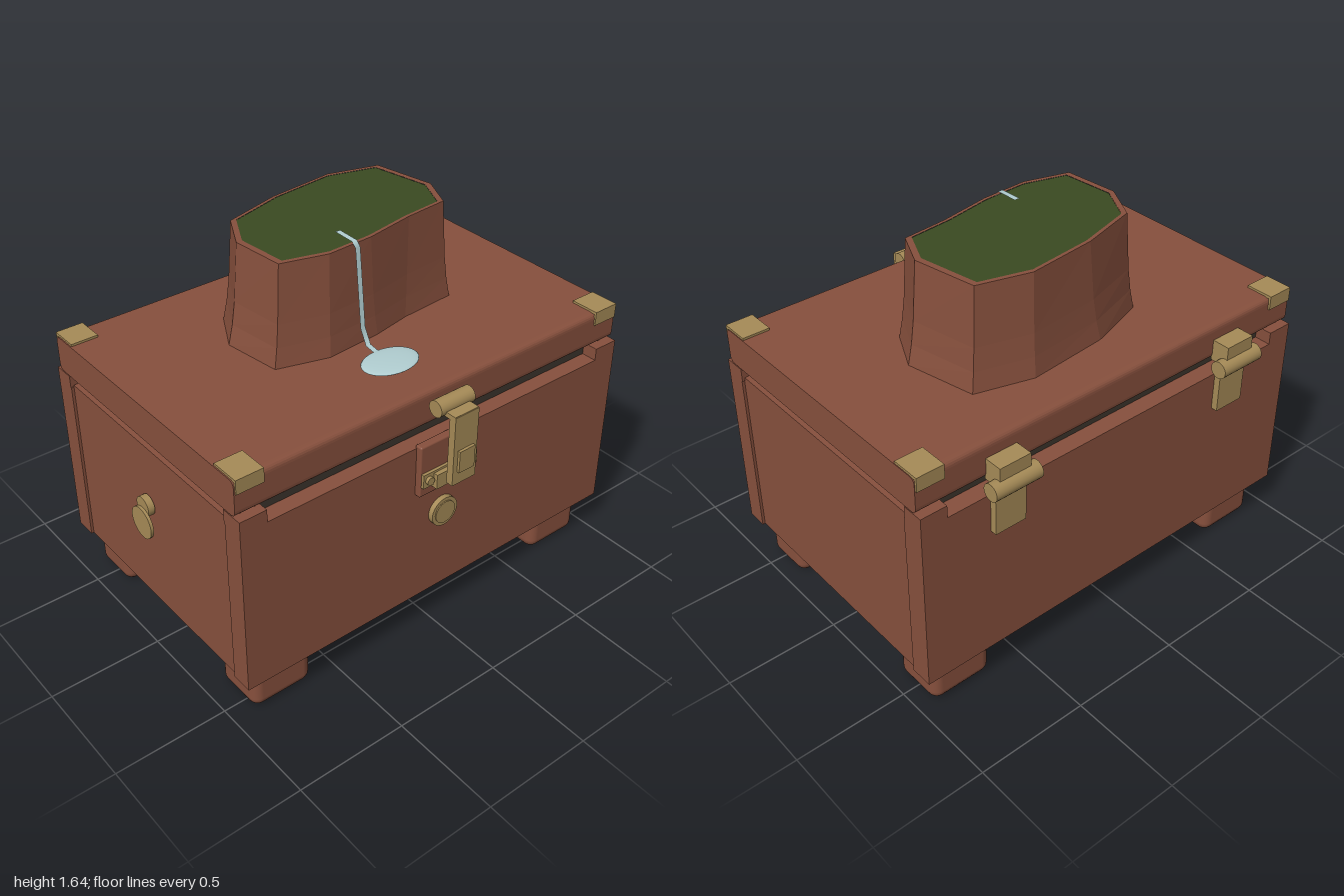
import * as THREE from 'three';
import { RoundedBoxGeometry } from 'three/addons/geometries/RoundedBoxGeometry.js';

const material = (name, color, extra = {}) => {
  const m = new THREE.MeshStandardMaterial({ color, ...extra });
  m.name = name;
  return m;
};

export function createModel() {
  const model = new THREE.Group();
  model.name = 'chest';
  const leather = material('brown leather', 0x87503d);
  const facets = material('brown leather', 0x87503d, { flatShading: true });
  const brass = material('brass', 0xa68b57);
  const lining = material('dark lining', 0x3c352d);
  const green = material('green filling', 0x3a4a21);
  const silver = material('pale silver', 0xb2cfd2, { side: THREE.DoubleSide });

  const add = (name, geometry, mat) => {
    const mesh = new THREE.Mesh(geometry, mat);
    mesh.name = name;
    model.add(mesh);
    return mesh;
  };
  // Box given by its extents on each axis
  const box = (name, mat, x0, x1, y0, y1, z0, z1, radius = 0) => {
    const s = [x1 - x0, y1 - y0, z1 - z0];
    const g = radius ? new RoundedBoxGeometry(...s, 3, radius) : new THREE.BoxGeometry(...s);
    return add(name, g.translate((x0 + x1) / 2, (y0 + y1) / 2, (z0 + z1) / 2), mat);
  };
  // Cylinder along the x or z axis
  const rod = (name, mat, axis, r, length, x, y, z) => {
    const g = new THREE.CylinderGeometry(r, r, length, 24);
    if (axis === 'x') g.rotateZ(Math.PI / 2); else g.rotateX(Math.PI / 2);
    return add(name, g.translate(x, y, z), mat);
  };

  // Chest walls, floor and lining
  const L = -0.965, R = 0.995;
  box('frontWall', leather, L, R, 0.2, 0.975, 0.535, 0.63);
  box('backWall', leather, L, R, 0.2, 0.975, -0.675, -0.575);
  box('leftWall', leather, 0.9, R - 0.012, 0.2, 0.985, -0.575, 0.535);
  box('rightWall', leather, L + 0.012, -0.87, 0.2, 0.985, -0.575, 0.535);
  box('floor', leather, -0.885, 0.915, 0.17, 0.21, -0.575, 0.535);
  box('lining', lining, -0.9, 0.93, 0.22, 1.028, -0.6, 0.56);

  // Corner blocks and feet
  for (const [x0, x1] of [[L, -0.845], [0.877, R]])
    for (const [z0, z1] of [[0.53, 0.63], [-0.675, -0.58]])
      box('cornerBlock', leather, x0, x1, 0.97, 1.03, z0, z1);
  for (const [x0, x1] of [[-0.905, -0.617], [0.648, 0.935]])
    for (const [z0, z1] of [[0.34, 0.578], [-0.623, -0.385]])
      box('foot', leather, x0, x1, 0, 0.185, z0, z1, 0.045);

  // Lid: rounded cross-section drawn in (z, y) and extruded along x
  const [a, b, c, d, r] = [-0.605, 0.65, 1.035, 1.193, 0.028];
  const lid = new THREE.Shape();
  lid.moveTo(a + r, c).lineTo(b - r, c).quadraticCurveTo(b, c, b, c + r);
  lid.lineTo(b, d - r).quadraticCurveTo(b, d, b - r, d);
  lid.lineTo(a + r, d).quadraticCurveTo(a, d, a, d - r);
  lid.lineTo(a, c + r).quadraticCurveTo(a, c, a + r, c);
  const lidGeometry = new THREE.ExtrudeGeometry(lid, { depth: R - L, bevelEnabled: false, curveSegments: 5 });
  add('lid', lidGeometry.rotateY(Math.PI / 2).translate(L, 0, 0), leather);

  // Brass corner brackets: a top plate and a turned-down flange
  for (const [x0, x1] of [[-0.96, -0.838], [0.87, 0.992]])
    for (const [z0, z1, f0, f1] of [[0.48, 0.61, 0.602, 0.612], [-0.657, -0.533, -0.659, -0.648]]) {
      box('cornerPlate', brass, x0, x1, 1.19, 1.203, z0, z1);
      box('cornerFlange', brass, x0, x1, 1.14, 1.203, f0, f1);
    }

  // Hinges
  for (const x of [-0.582, 0.608]) {
    box('hingeUpperLeaf', brass, x - 0.073, x + 0.073, 1.03, 1.125, -0.73, -0.645);
    box('hingeLowerLeaf', brass, x - 0.073, x + 0.073, 0.8, 1.02, -0.704, -0.67);
    rod('hingeBarrel', brass, 'x', 0.038, 0.22, x, 1.03, -0.72);
  }

  // Front latch
  box('latchPad', leather, -0.135, 0.16, 0.745, 0.987, 0.62, 0.657, 0.008);
  box('latchCatch', brass, -0.128, 0.157, 0.795, 0.86, 0.655, 0.67);
  box('latchCatchCentre', brass, -0.075, 0.1, 0.782, 0.85, 0.655, 0.69);
  for (const x of [-0.1, 0.127]) rod('latchRivet', brass, 'z', 0.018, 0.02, x, 0.828, 0.674);
  box('latchStrap', brass, -0.05, 0.072, 0.82, 1.14, 0.715, 0.748);
  box('latchArm', brass, -0.05, 0.072, 1.12, 1.142, 0.65, 0.745);
  rod('latchBarrel', brass, 'x', 0.036, 0.175, 0.013, 1.147, 0.66);
  box('latchButton', brass, -0.028, 0.052, 0.88, 0.98, 0.74, 0.76);

  // Front and side locks
  rod('lockRim', brass, 'z', 0.068, 0.03, 0.012, 0.605, 0.638);
  rod('lockFace', brass, 'z', 0.052, 0.03, 0.012, 0.605, 0.643);
  rod('sideStud', brass, 'x', 0.045, 0.03, -0.972, 0.705, -0.027);
  rod('sideCover', brass, 'x', 0.072, 0.013, -0.993, 0.63, -0.027);

  // Faceted stem on the lid: outlines in (x, z)
  const foot = [[-0.46, -0.15], [-0.36, -0.335], [-0.09, -0.425], [0.28, -0.46], [0.53, -0.39], [0.597, -0.08],
    [0.505, 0.105], [0.24, 0.125], [0.06, 0.16], [-0.2, 0.18], [-0.425, 0.115]];
  const inner = [[-0.375, -0.147], [-0.29, -0.307], [-0.04, -0.377], [0.255, -0.41], [0.468, -0.35], [0.516, -0.083],
    [0.447, 0.067], [0.255, 0.085], [0.035, 0.126], [-0.168, 0.136], [-0.355, 0.083]];
  const rim = inner.map(([x, z]) => [0.07 + (x - 0.07) * 1.06, -0.137 + (z + 0.137) * 1.06]);
  const ring = (t, y) => foot.map(([x, z], i) => [x + (rim[i][0] - x) * t, y, z + (rim[i][1] - z) * t]);
  const rings = [ring(0, 1.19), ring(0.36, 1.28), ring(0.62, 1.38), ring(1, 1.635),
    inner.map(([x, z]) => [x, 1.635, z])];
  const points = [];
  for (let k = 0; k < rings.length - 1; k++)
    for (let i = 0; i < foot.length; i++) {
      const j = (i + 1) % foot.length, lo = rings[k], hi = rings[k + 1];
      points.push(...lo[j], ...lo[i], ...hi[i], ...lo[j], ...hi[i], ...hi[j]);
    }
  const stem = new THREE.BufferGeometry();
  stem.setAttribute('position', new THREE.Float32BufferAttribute(points, 3));
  stem.computeVertexNormals();
  add('stem', stem, facets);
  const top = new THREE.Shape(inner.map(([x, z]) => new THREE.Vector2(x, -z)));
  add('stemFilling', new THREE.ShapeGeometry(top).rotateX(-Math.PI / 2).translate(0, 1.634, 0), green);

  // Spoon: shallow oval bowl and a ribbon handle bent over the rim, path in (y, z)
  const bowl = new THREE.SphereGeometry(1, 28, 12).scale(0.13, 0.011, 0.092);
  add('spoonBowl', bowl.translate(-0.048, 1.206, 0.363), silver);
  const path = [[1.208, 0.28], [1.215, 0.23], [1.28, 0.195], [1.62, 0.16], [1.642, 0.14], [1.644, 0.035]];
  const handle = new THREE.PlaneGeometry(0.024, 1, 1, path.length - 1);
  path.forEach(([y, z], i) => {
    for (const k of [0, 1]) handle.attributes.position.setXYZ(2 * i + k, k ? -0.06 : -0.036, y, z);
  });
  handle.computeVertexNormals();
  add('spoonHandle', handle, silver);

  return model;
}
